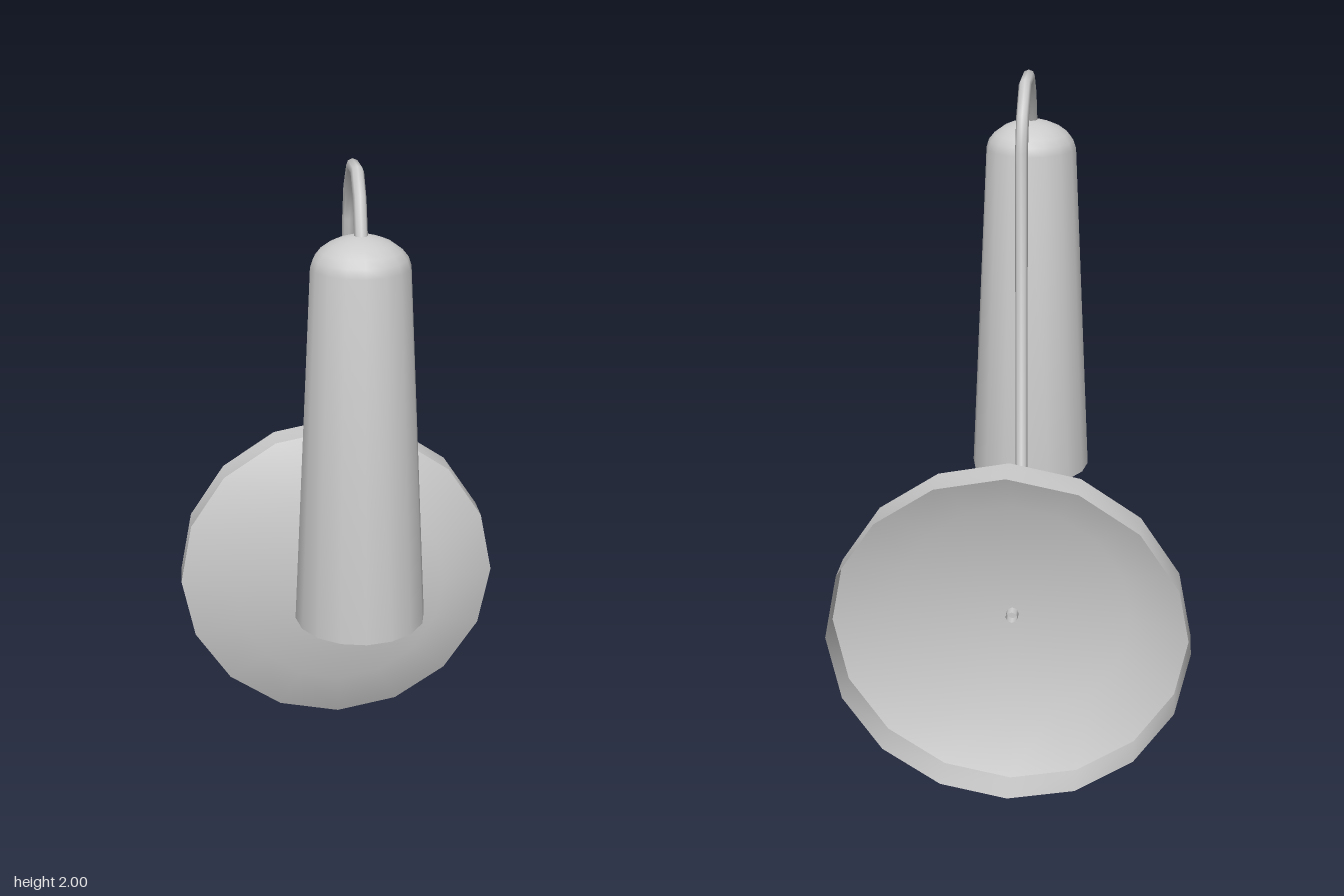
import * as THREE from 'three';
import { toCreasedNormals } from 'three/addons/utils/BufferGeometryUtils.js';

const SIDES = 16;
const material = new THREE.MeshStandardMaterial({ color: 0xcccccc, side: THREE.DoubleSide });

function lathe(name, profile) {
  const points = profile.map(([r, y]) => new THREE.Vector2(r, y));
  const geometry = toCreasedNormals(new THREE.LatheGeometry(points, SIDES), 0.7);
  const mesh = new THREE.Mesh(geometry, material);
  mesh.name = name;
  return mesh;
}

// Straight segments joined at the given corners, with mitred tangents
class Polyline extends THREE.Curve {
  constructor(points) {
    super();
    this.points = points;
  }
  getPoint(t, target = new THREE.Vector3()) {
    const f = t * (this.points.length - 1);
    const i = Math.min(Math.floor(f + 1e-6), this.points.length - 2);
    return target.lerpVectors(this.points[i], this.points[i + 1], f - i);
  }
  getPointAt(u, target) {
    return this.getPoint(u, target);
  }
  getTangentAt(u, target = new THREE.Vector3()) {
    const p = this.points, last = p.length - 1;
    const i = Math.round(u * last);
    const before = p[i].clone().sub(p[Math.max(i - 1, 0)]).normalize();
    const after = p[Math.min(i + 1, last)].clone().sub(p[i]).normalize();
    return target.addVectors(before, after).normalize();
  }
}

export function createModel() {
  const group = new THREE.Group();
  group.name = 'wallLamp';

  // Hollow wall plate, open at the back
  const plate = lathe('wallPlate', [[0.517, 0], [0.517, 0.105], [0.345, 0.185], [0, 0.185]]);
  plate.rotation.x = Math.PI / 2;
  plate.position.set(0, 0.517, -0.495);
  group.add(plate);

  // Tapered shade with a domed top and an open, thick-walled bottom
  const shade = lathe('shade', [
    [0, 1.815], [0.05, 1.81], [0.1, 1.785], [0.12, 1.75], [0.17, 0.73], // inside
    [0.185, 0.73], [0.134, 1.753], [0.126, 1.777], [0.11, 1.797],       // outside
    [0.085, 1.815], [0.06, 1.826], [0.03, 1.835], [0, 1.837],
  ]);
  shade.position.z = 0.31;
  group.add(shade);

  // Bent rod from the plate up and over to the shade, as z, y corners
  const corners = [
    [-0.335, 0.517], [-0.21, 0.527], [-0.1, 0.558], [-0.015, 0.628],
    [-0.015, 1.81], [0.02, 1.905], [0.1, 1.978], [0.215, 1.982],
    [0.275, 1.925], [0.318, 1.82],
  ].map(([z, y]) => new THREE.Vector3(0, y, z));
  const rod = new THREE.Mesh(
    new THREE.TubeGeometry(new Polyline(corners), corners.length - 1, 0.018, 8), material);
  rod.name = 'rod';
  group.add(rod);

  return group;
}
